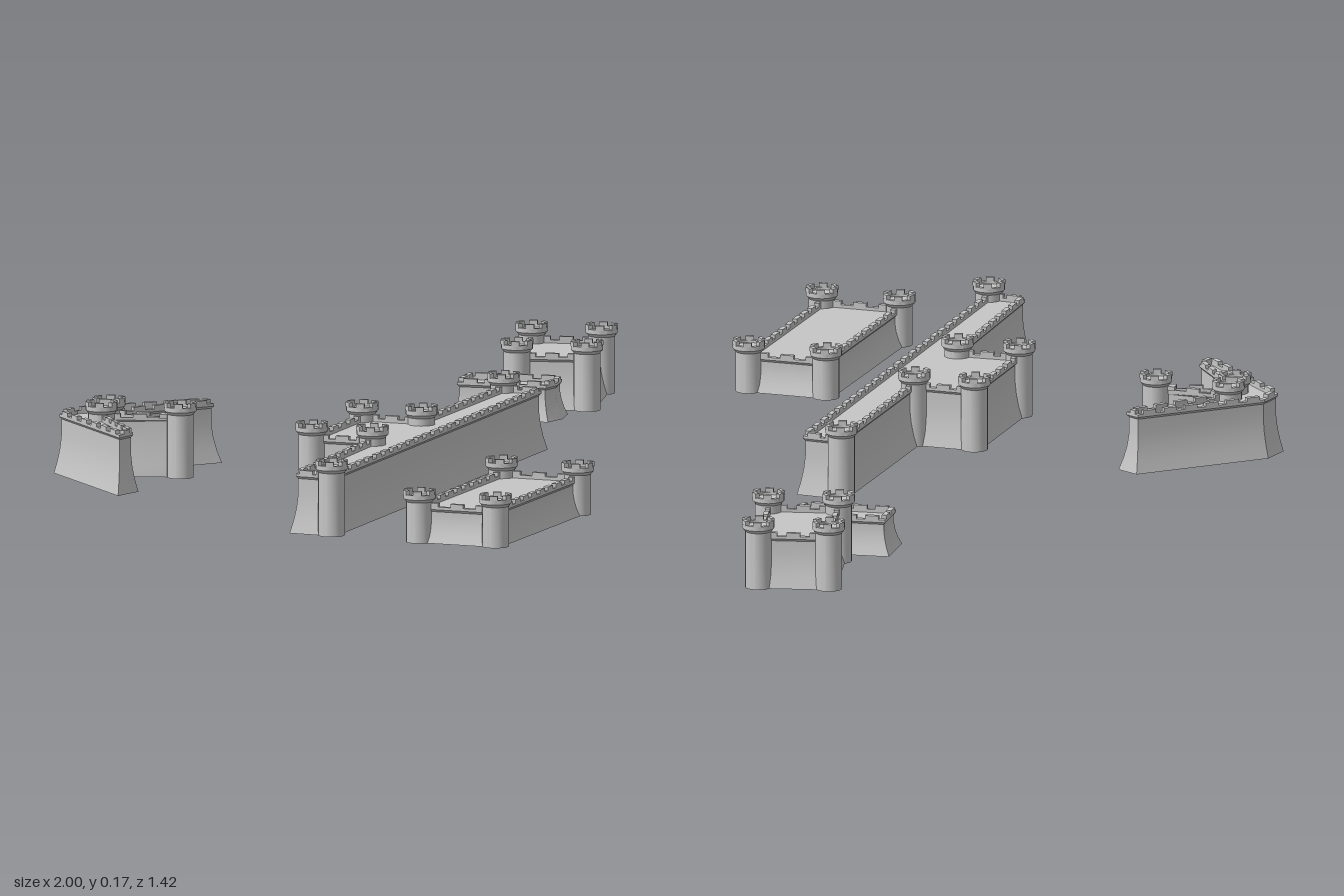
import * as THREE from 'three';
import { mergeGeometries, toCreasedNormals } from 'three/addons/utils/BufferGeometryUtils.js';

const stone = new THREE.MeshStandardMaterial({ color: 0xc6c6c6, side: THREE.DoubleSide });
stone.name = 'pale stone';

// Plan of each fortification as [x, z, hasTower]; h is the wall height, th the tower height.
const forts = [
  { name: 'longWall', h: 0.137, th: 0.165, plan: [
    [-0.98, 0.22], [-0.525, 0.077, 1], [-0.568, -0.056, 1], [-0.274, -0.142, 1],
    [-0.237, -0.008, 1], [0.233, -0.142, 1], [0.25, -0.058], [-0.963, 0.298, 1]] },
  { name: 'lowFort', h: 0.086, th: 0.115, plan: [
    [-0.92, 0.505, 1], [-0.456, 0.377, 1], [-0.408, 0.548, 1], [-0.872, 0.676, 1]] },
  { name: 'angledFort', h: 0.137, th: 0.165, plan: [
    [-0.785, -0.415], [-0.632, -0.69], [-0.574, -0.697], [-0.312, -0.548], [-0.318, -0.52],
    [-0.557, -0.617, 1], [-0.52, -0.451, 1], [-0.612, -0.596, 1], [-0.745, -0.415]] },
  { name: 'squareFort', h: 0.122, th: 0.152, plan: [
    [0.682, -0.446, 1], [0.89, -0.564, 1], [0.965, -0.43, 1], [0.757, -0.3125, 1]] },
  { name: 'smallOutwork', h: 0.086, th: 0, plan: [
    [0.503, -0.467], [0.585, -0.498], [0.665, -0.316], [0.618, -0.292], [0.577, -0.29]] },
];

// Corners ordered anticlockwise as seen from above, in (x, -z)
function orderedPlan(plan) {
  const pts = plan.map(([x, z]) => new THREE.Vector2(x, -z));
  return THREE.ShapeUtils.isClockWise(pts) ? pts.reverse() : pts;
}

// Push every corner outward by d, with limited mitres
function offset(pts, d) {
  const n = pts.length;
  const normal = (i) => {
    const e = pts[(i + 1) % n].clone().sub(pts[i % n]).normalize();
    return new THREE.Vector2(e.y, -e.x);
  };
  return pts.map((p, i) => {
    const a = normal(i + n - 1), b = normal(i);
    const k = d / Math.max(0.45, 1 + a.dot(b));
    return p.clone().addScaledVector(a.add(b), k);
  });
}

// Battered wall shell, open below, with a projecting parapet and recessed roof
function wallGeometry(pts, h) {
  const profile = [
    [0.015, 0], [0.008, h * 0.2], [0.003, h * 0.4], [0, h * 0.62], [0, h - 0.018],
    [0.004, h - 0.013], [0.004, h - 0.007], [-0.007, h - 0.007], [-0.007, h - 0.014],
  ];
  const rings = profile.map(([d, y]) => offset(pts, d).map((p) => [p.x, y, -p.y]));
  const pos = [];
  const n = pts.length;
  for (let r = 0; r < rings.length - 1; r++) {
    for (let i = 0; i < n; i++) {
      const j = (i + 1) % n, lo = rings[r], hi = rings[r + 1];
      pos.push(...lo[i], ...lo[j], ...hi[j], ...lo[i], ...hi[j], ...hi[i]);
    }
  }
  const top = rings[rings.length - 1];
  const flat = top.map(([x, , z]) => new THREE.Vector2(x, -z));
  for (const tri of THREE.ShapeUtils.triangulateShape(flat, [])) {
    for (const k of tri) pos.push(...top[k]);
  }
  const g = new THREE.BufferGeometry();
  g.setAttribute('position', new THREE.Float32BufferAttribute(pos, 3));
  return toCreasedNormals(g, 0.4);
}

// Evenly spaced merlons along every edge
function merlonGeometry(pts, h) {
  const boxes = [];
  const line = offset(pts, -0.0015);
  line.forEach((a, i) => {
    const b = line[(i + 1) % line.length];
    const len = a.distanceTo(b);
    const count = Math.max(1, Math.round(len / 0.05));
    for (let k = 0; k < count; k++) {
      const p = a.clone().lerp(b, (k + 0.5) / count);
      const g = new THREE.BoxGeometry(Math.min(0.03, len * 0.6), 0.009, 0.011);
      g.rotateY(Math.atan2(b.y - a.y, b.x - a.x));
      g.translate(p.x, h - 0.0035, -p.y);
      boxes.push(g);
    }
  });
  return mergeGeometries(boxes);
}

// Round tower with a corbelled crown
function towerGeometry(h) {
  const profile = [
    [0, 0], [0.029, 0], [0.029, h - 0.026], [0.035, h - 0.019], [0.035, h - 0.009],
    [0.026, h - 0.009], [0.026, h - 0.014], [0, h - 0.014],
  ].map(([r, y]) => new THREE.Vector2(r, y));
  return toCreasedNormals(new THREE.LatheGeometry(profile, 20), 0.6);
}

// Ring of merlons on a tower crown
function crownGeometry(h) {
  const boxes = [];
  for (let i = 0; i < 6; i++) {
    const g = new THREE.BoxGeometry(0.018, 0.01, 0.009);
    g.translate(0, h - 0.005, 0.0305);
    g.rotateY((i * Math.PI) / 3);
    boxes.push(g);
  }
  return mergeGeometries(boxes);
}

function part(parent, name, geometry) {
  const mesh = new THREE.Mesh(geometry, stone);
  mesh.name = name;
  parent.add(mesh);
  return mesh;
}

export function createModel() {
  const model = new THREE.Group();
  model.name = 'castleWalls';
  for (const { name, h, th, plan } of forts) {
    const fort = new THREE.Group();
    fort.name = name;
    const pts = orderedPlan(plan);
    part(fort, 'wall', wallGeometry(pts, h));
    part(fort, 'wallMerlons', merlonGeometry(pts, h));
    if (th) {
      const body = towerGeometry(th), crown = crownGeometry(th);
      for (const [x, z, hasTower] of plan) {
        if (!hasTower) continue;
        const tower = new THREE.Group();
        tower.name = 'tower';
        part(tower, 'towerBody', body);
        part(tower, 'towerMerlons', crown);
        tower.position.set(x, 0, z);
        fort.add(tower);
      }
    }
    model.add(fort);
  }
  return model;
}
